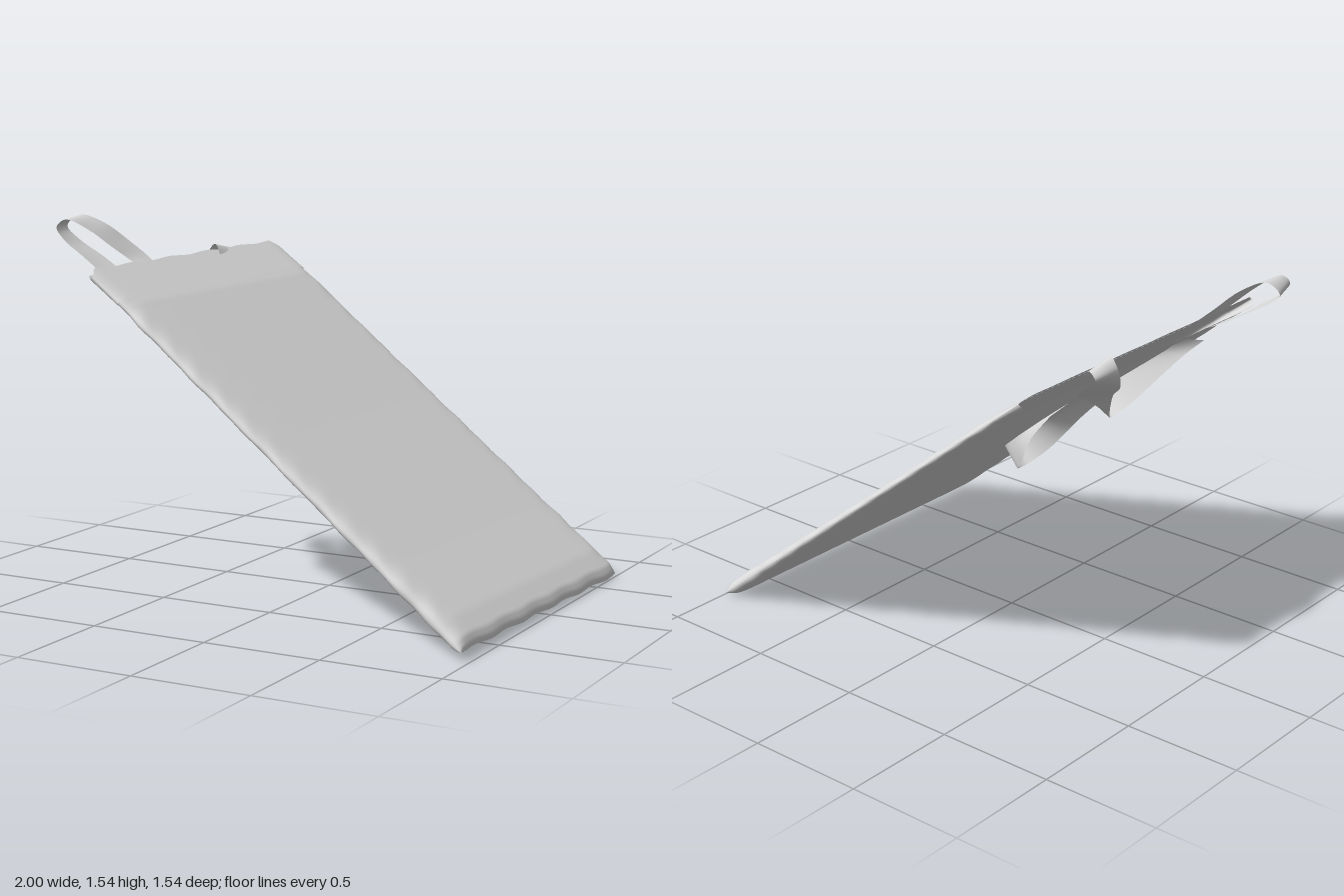
import * as THREE from 'three';

const cloth = new THREE.MeshStandardMaterial({ color: 0xdedede, side: THREE.DoubleSide });
cloth.name = 'pale grey cloth';

// Joins rows of points into one smooth sheet
function sheet(name, rows) {
  const n = rows[0].length, pos = [], idx = [];
  rows.forEach(r => r.forEach(p => pos.push(p.x, p.y, p.z)));
  for (let i = 0; i < rows.length - 1; i++)
    for (let j = 0; j < n - 1; j++) {
      const a = i * n + j, b = a + n;
      idx.push(a, b, a + 1, a + 1, b, b + 1);
    }
  const g = new THREE.BufferGeometry();
  g.setAttribute('position', new THREE.Float32BufferAttribute(pos, 3));
  g.setIndex(idx);
  g.computeVertexNormals();
  const mesh = new THREE.Mesh(g, cloth);
  mesh.name = name;
  return mesh;
}

// Ribbon between two edge curves
function ribbon(name, edgeA, edgeB) {
  const curve = e => new THREE.CatmullRomCurve3(e.map(p => new THREE.Vector3(...p)));
  const a = curve(edgeA), b = curve(edgeB), rows = [];
  for (let i = 0; i <= 48; i++) {
    const p = a.getPoint(i / 48), q = b.getPoint(i / 48);
    rows.push([0, 0.25, 0.5, 0.75, 1].map(t => p.clone().lerp(q, t)));
  }
  return sheet(name, rows);
}

// Point on the leaning bag: u from base to opening, s across, h along the normal
const base = new THREE.Vector3(0.98, 0.02, 0.02);
const mouth = new THREE.Vector3(-0.705, 1.355, -0.025);
const normal = new THREE.Vector3(0.622, 0.783, 0);
function place(u, s, h, halfWidth) {
  const p = base.clone().lerp(mouth, u + 0.01 * s * (1 - u));
  p.z += s * halfWidth;
  return p.addScaledVector(normal, h);
}

// Linear lookup in a table of [u, value]
function lookup(table, u) {
  let k = 1;
  while (k < table.length - 1 && table[k][0] < u) k++;
  const [a, b] = [table[k - 1], table[k]];
  return THREE.MathUtils.lerp(a[1], b[1], (u - a[0]) / (b[0] - a[0]));
}
const puff = [[0, 0], [0.006, 0.018], [0.02, 0.031], [0.06, 0.037], [0.2, 0.031], [0.5, 0.026], [0.89, 0.025], [0.915, 0.021]];

// Closed sleeve of cloth; the hem is flatter and open at the end
function sleeve(name, from, to, steps, hem) {
  const rows = [];
  for (let i = 0; i <= steps; i++) {
    const t = i / steps, u = from + (to - from) * (hem ? t : t * t * (3 - 2 * t));
    const row = [];
    for (let j = 0; j <= 120; j++) {
      const s = -Math.cos(Math.PI * j / 60), side = j <= 60 ? 1 : -1, edge = Math.abs(s);
      const rim = Math.sqrt(Math.max(0, 1 - Math.pow(edge, 24)));
      if (hem) {
        const h = side > 0 ? 0.023 - 0.016 * t : -0.023 - 0.012 * t;
        const cut = t * (0.018 * THREE.MathUtils.smoothstep(edge, 0.92, 1) + 0.004 * Math.sin(s * 8.2 + 1.6) ** 2);
        row.push(place(u - cut, s, h * rim, 0.745));
      } else {
        const wrinkle = 0.003 * Math.sin(u * 90 + s * 20) * Math.pow(edge, 20);
        const wobble = (0.003 * Math.sin(u * 47) + 0.002 * Math.sin(u * 83 + 1)) * Math.pow(edge, 8);
        const foot = 0.002 * Math.sin(s * 17) * (1 - Math.min(1, u * 12));
        row.push(place(u + foot, s, side * (lookup(puff, u) + wrinkle) * rim, 0.747 - 0.007 * u + wobble));
      }
    }
    rows.push(row);
  }
  return sheet(name, rows);
}

export function createModel() {
  const bag = new THREE.Group();
  bag.name = 'clothBag';

  // Padded body and open hem
  bag.add(sleeve('paddedBody', 0, 0.915, 90, false));
  bag.add(sleeve('openHem', 0.908, 1, 8, true));

  // Handle looping out past the opening
  bag.add(ribbon('raisedHandle',
    [[-0.66, 1.32, 0.24], [-0.73, 1.375, 0.24], [-0.79, 1.43, 0.27], [-0.87, 1.51, 0.34], [-0.95, 1.545, 0.4],
      [-1, 1.5, 0.42], [-0.94, 1.445, 0.42], [-0.84, 1.385, 0.41], [-0.74, 1.325, 0.41], [-0.67, 1.29, 0.41]],
    [[-0.66, 1.32, 0.36], [-0.735, 1.365, 0.36], [-0.79, 1.42, 0.41], [-0.86, 1.49, 0.47], [-0.925, 1.535, 0.54],
      [-0.955, 1.505, 0.56], [-0.92, 1.455, 0.56], [-0.83, 1.39, 0.555], [-0.74, 1.325, 0.55], [-0.67, 1.29, 0.55]]));

  // Handle folded over the lip and hanging below the bag
  bag.add(ribbon('foldedHandle',
    [[-0.64, 1.3, -0.22], [-0.71, 1.38, -0.27], [-0.75, 1.34, -0.28], [-0.72, 1.25, -0.22], [-0.54, 1.1, -0.03],
      [-0.39, 0.92, 0.15], [-0.36, 0.89, 0.2], [-0.4, 0.93, 0.25], [-0.6, 1.17, 0.35], [-0.68, 1.25, 0.38]],
    [[-0.64, 1.3, -0.36], [-0.71, 1.355, -0.4], [-0.745, 1.33, -0.41], [-0.67, 1.27, -0.36], [-0.42, 1.09, -0.1],
      [-0.28, 0.97, 0.14], [-0.25, 0.96, 0.2], [-0.3, 1.0, 0.25], [-0.5, 1.17, 0.32], [-0.6, 1.255, 0.32]]));

  // Lower bend of the hanging handle
  bag.add(ribbon('hangingHandleBend',
    [[-0.3, 0.98, -0.12], [-0.15, 0.82, -0.06], [-0.02, 0.65, 0.04], [0.05, 0.58, 0.1],
      [0.05, 0.58, 0.16], [-0.02, 0.65, 0.22], [-0.15, 0.82, 0.3], [-0.3, 0.98, 0.38]],
    [[-0.3, 1, 0], [-0.13, 0.87, 0.02], [0.04, 0.73, 0.06], [0.12, 0.665, 0.1],
      [0.12, 0.665, 0.16], [0.04, 0.73, 0.19], [-0.13, 0.87, 0.2], [-0.3, 1, 0.26]]));

  return bag;
}
